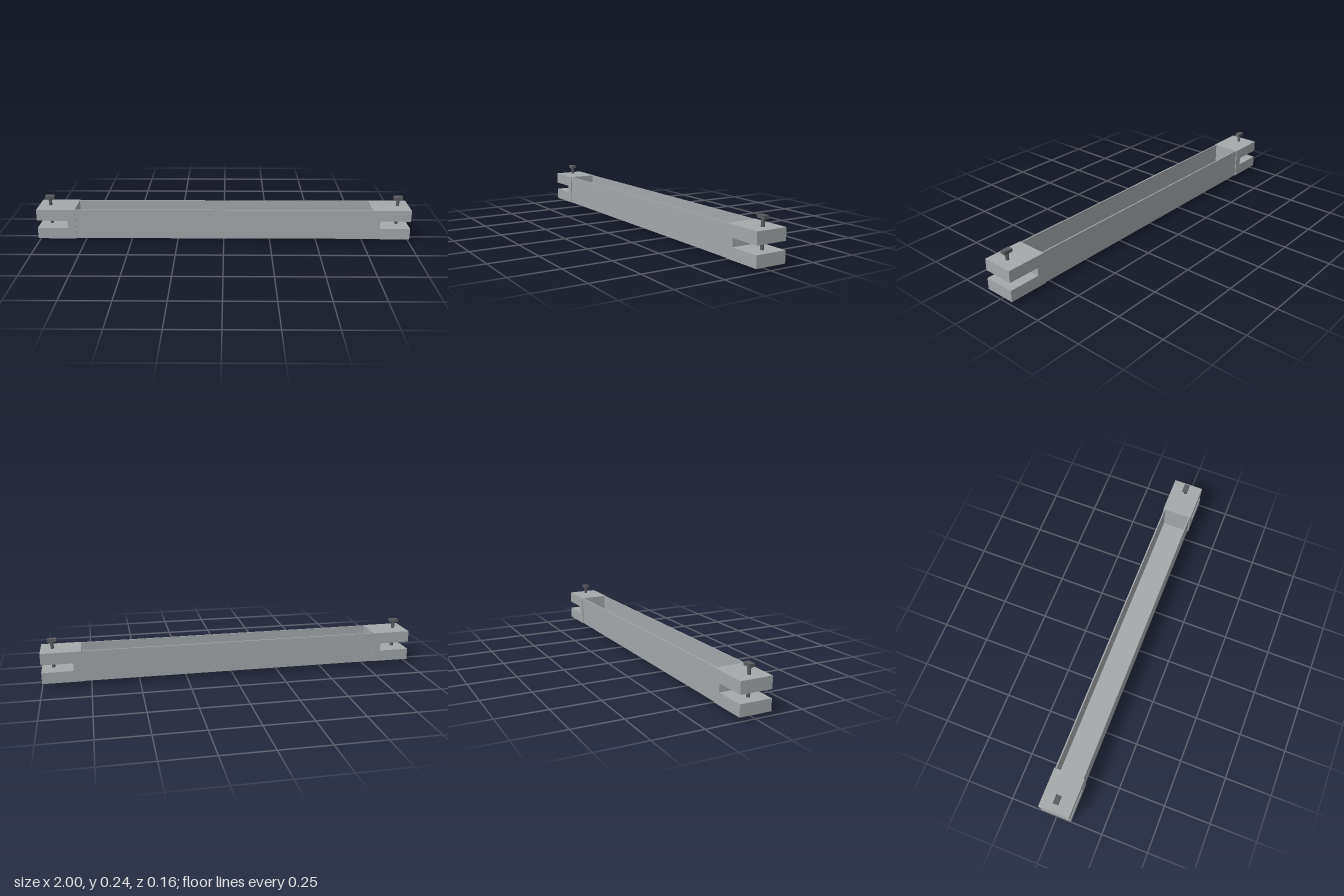
import * as THREE from 'three';

export function createModel() {
  const steel = new THREE.MeshStandardMaterial({ color: 0xa5a9ab });
  steel.name = 'light steel';
  const dark = new THREE.MeshStandardMaterial({ color: 0x5c5d61 });
  dark.name = 'dark steel';

  const root = new THREE.Group();
  root.name = 'clevisBeam';

  const add = (parent, name, geometry, material, x = 0, y = 0, z = 0) => {
    const mesh = new THREE.Mesh(geometry, material);
    mesh.name = name;
    mesh.position.set(x, y, z);
    parent.add(mesh);
  };

  const bottom = 0.02, top = 0.183, inner = 0.795;

  // Extrudes a closed outline of [a, b] points, centred on the extrusion axis
  const extrude = (points, depth) => {
    const shape = new THREE.Shape(points.map(([a, b]) => new THREE.Vector2(a, b)));
    return new THREE.ExtrudeGeometry(shape, { depth, bevelEnabled: false }).translate(0, 0, -depth / 2);
  };

  // Thin U-shaped channel, open at the top
  const w = 0.077, t = 0.007;
  const channel = extrude([
    [-w, bottom], [w, bottom], [w, top], [w - t, top],
    [w - t, bottom + t], [-w + t, bottom + t], [-w + t, top], [-w, top],
  ], 2 * inner).rotateY(Math.PI / 2);
  add(root, 'channel', channel, steel);

  // Slotted fork block with its pin, once at each end
  const fork = extrude([
    [inner, bottom], [1, bottom], [1, 0.08], [0.837, 0.08],
    [0.837, 0.122], [1, 0.122], [1, top], [inner, top],
  ], 0.164);
  const shank = new THREE.CylinderGeometry(0.0088, 0.0088, 0.222, 16);
  const head = new THREE.BoxGeometry(0.046, 0.016, 0.0275);

  for (const side of [1, -1]) {
    const end = new THREE.Group();
    end.name = side > 0 ? 'leftEnd' : 'rightEnd';
    end.rotation.y = side > 0 ? 0 : Math.PI;
    add(end, 'forkBlock', fork, steel);
    add(end, 'pinShank', shank, dark, 0.94, 0.111);
    add(end, 'pinHead', head, dark, 0.94, 0.228);
    root.add(end);
  }
  return root;
}
